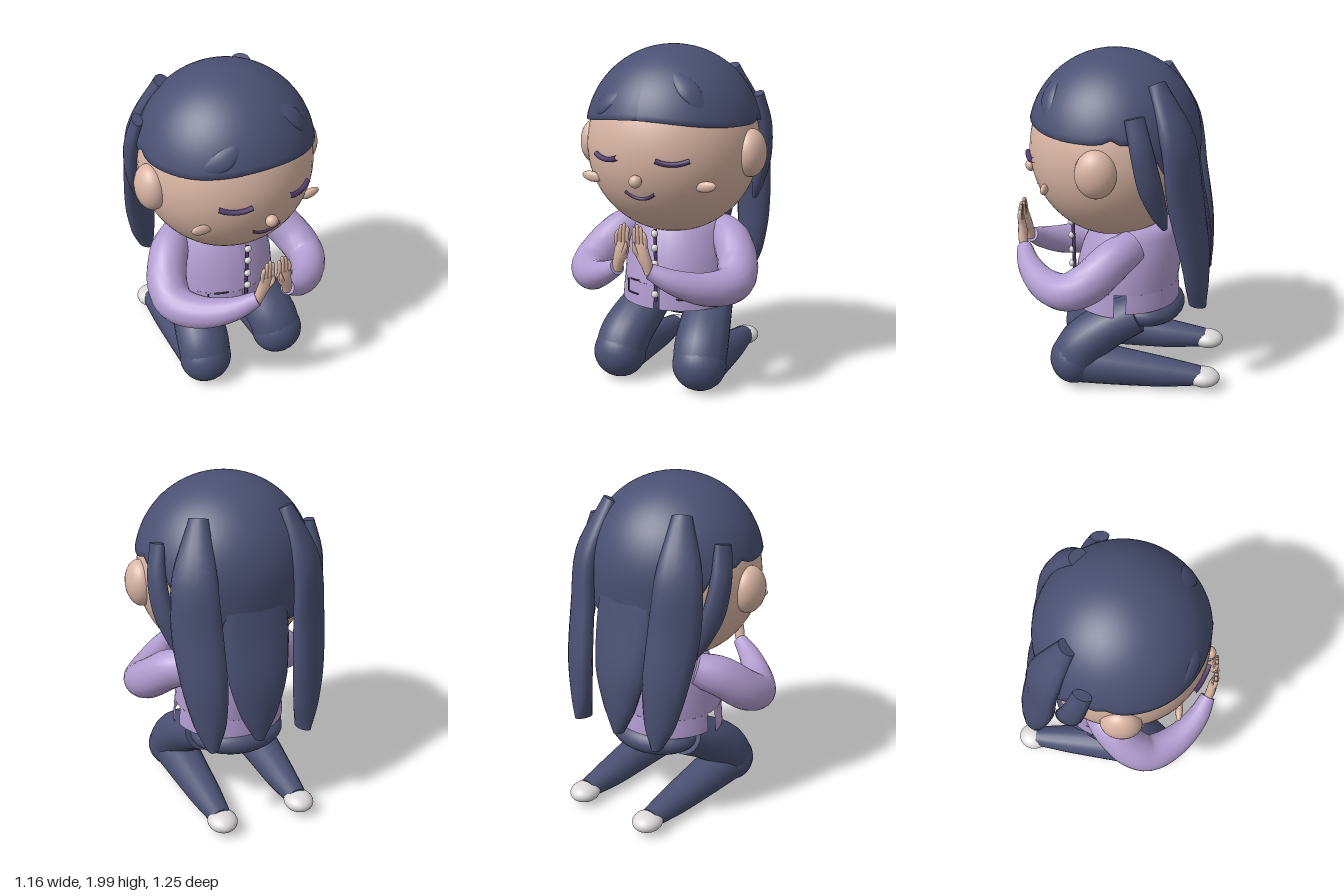
import * as THREE from 'three';

const mat = (name, color, double) => {
  const m = new THREE.MeshStandardMaterial({ color });
  m.name = name;
  if (double) m.side = THREE.DoubleSide;
  return m;
};
const V = (x, y, z) => new THREE.Vector3(x, y, z);

// Sweeps an elliptical section along rows of [x, y, z, halfWidth, halfThickness];
// ref(point) gives the direction of the thickness.
function sweep(rows, ref, rings = 20, sides = 14) {
  const path = new THREE.CatmullRomCurve3(rows.map(r => V(r[0], r[1], r[2])));
  const size = new THREE.CatmullRomCurve3(rows.map(r => V(r[3], r[4], 0)));
  const pos = [], idx = [], ends = [];
  for (let i = 0; i <= rings; i++) {
    const t = i / rings, p = path.getPoint(t), s = size.getPoint(t), tan = path.getTangent(t);
    const n = ref(p).clone();
    n.addScaledVector(tan, -n.dot(tan)).normalize();
    const side = tan.clone().cross(n), ring = [];
    for (let j = 0; j < sides; j++) {
      const a = j / sides * Math.PI * 2;
      const v = p.clone().addScaledVector(side, Math.cos(a) * s.x).addScaledVector(n, Math.sin(a) * s.y);
      ring.push(v);
      pos.push(v.x, v.y, v.z);
      if (i < rings) {
        const A = i * sides + j, B = i * sides + (j + 1) % sides;
        idx.push(A, A + sides, B, B, A + sides, B + sides);
      }
    }
    if (i === 0 || i === rings) ends.push({ p, ring });
  }
  // flat caps
  ends.forEach(({ p, ring }, e) => {
    const c = pos.length / 3;
    pos.push(p.x, p.y, p.z);
    ring.forEach(v => pos.push(v.x, v.y, v.z));
    for (let j = 0; j < sides; j++) {
      const a = c + 1 + j, b = c + 1 + (j + 1) % sides;
      idx.push(c, ...(e ? [b, a] : [a, b]));
    }
  });
  const g = new THREE.BufferGeometry();
  g.setAttribute('position', new THREE.Float32BufferAttribute(pos, 3));
  g.setIndex(idx);
  g.computeVertexNormals();
  return g;
}

// Hair dome with a hairline that is high in front and drops at the back
const HAIR = V(0, 1.49, 0.038), HX = 0.514, HY = 0.51, HZ = 0.503;
function hairCap() {
  const cols = 64, rows = 22, pos = [], idx = [];
  for (let i = 0; i <= rows; i++) for (let j = 0; j <= cols; j++) {
    const az = j / cols * Math.PI * 2, c = Math.cos(az);
    const edge = 1.575 + 0.045 * Math.max(0, c) ** 4
      + 0.03 * Math.exp(-(((c + 0.08) / 0.07) ** 2))
      - 0.32 * THREE.MathUtils.smoothstep(-c, 0.4, 0.85);
    const d = edge - HAIR.y, ry = d > 0 ? HY : 0.9;
    const a = Math.acos(d / ry) * Math.min(1, i / (rows - 1));
    const cy = Math.cos(a), r = Math.sin(a) - (i === rows ? 0.04 : 0);
    pos.push(HX * r * Math.sin(az), HAIR.y + cy * (cy > 0 ? HY : 0.9), HAIR.z + HZ * r * c);
    if (i < rows && j < cols) {
      const A = i * (cols + 1) + j, B = A + cols + 1;
      idx.push(A, B, A + 1, A + 1, B, B + 1);
    }
  }
  const g = new THREE.BufferGeometry();
  g.setAttribute('position', new THREE.Float32BufferAttribute(pos, 3));
  g.setIndex(idx);
  g.computeVertexNormals();
  return g;
}

export function createModel() {
  const group = new THREE.Group();
  const skin = mat('skin', 0xd9b5a4), navy = mat('navy', 0x4a5072, true), lilac = mat('lilac', 0xb29dd0, true);
  const white = mat('white', 0xdedadb), plum = mat('plum', 0x523c6c);

  const add = (name, geo, m) => {
    const mesh = new THREE.Mesh(geo, m);
    mesh.name = name;
    group.add(mesh);
    return mesh;
  };
  const ball = (name, m, x, y, z, rx, ry = rx, rz = rx, seg = 24) => {
    const b = add(name, new THREE.SphereGeometry(1, seg, Math.max(8, seg * 0.7 | 0)), m);
    b.position.set(x, y, z);
    b.scale.set(rx, ry, rz);
    return b;
  };
  const tube = (name, m, pts, r) =>
    add(name, new THREE.TubeGeometry(new THREE.CatmullRomCurve3(pts), 16, r, 8), m);
  const up = () => V(0, 1, 0.01);
  const faceZ = (x, y) => 0.038 + 0.496 * Math.sqrt(1 - (x / 0.506) ** 2 - ((y - 1.425) / 0.515) ** 2);

  // Head and face
  ball('head', skin, 0, 1.425, 0.038, 0.506, 0.515, 0.496, 48);
  ball('nose', skin, 0, 1.29, 0.542, 0.037, 0.036, 0.033);
  tube('mouth', plum, [-0.09, -0.05, 0, 0.05, 0.09].map(x => {
    const y = 1.18 + 4.5 * x * x;
    return V(x, y, faceZ(x, y) + 0.003);
  }), 0.009);

  // Hair
  add('hairCap', hairCap(), navy);
  add('backLock', sweep([[0, 1.6, -0.37, 0.14, 0.04], [0, 1.45, -0.395, 0.18, 0.05], [0, 1.22, -0.425, 0.2, 0.06],
    [0, 0.95, -0.465, 0.18, 0.07], [0, 0.72, -0.48, 0.11, 0.06], [0, 0.57, -0.485, 0.03, 0.04]], () => V(0, 0, -1)), navy);
  const onHair = (x, y) => [x, y, HAIR.z + HZ * Math.sqrt(1 - (x / HX) ** 2 - ((y - HAIR.y) / HY) ** 2) - 0.008];
  const fromHead = p => p.clone().sub(HAIR);
  add('fringeTuft', sweep([[...onHair(-0.37, 1.62), 0.01, 0.003], [...onHair(-0.24, 1.69), 0.055, 0.018],
    [...onHair(-0.11, 1.79), 0.01, 0.003]], fromHead), navy);
  add('fringeTuft', sweep([[...onHair(0.1, 1.9), 0.01, 0.003], [...onHair(0.24, 1.78), 0.06, 0.02],
    [...onHair(0.37, 1.62), 0.012, 0.003]], fromHead), navy);

  // Jacket: upper body leaning back, then a skirt slit at the sides and front
  const lathe = (name, pts, start = 0, len = Math.PI * 2, lean = 0) => {
    const g = new THREE.LatheGeometry(pts.map(p => new THREE.Vector2(...p)), 40, start, len);
    const p = g.attributes.position;
    for (let i = 0; i < p.count; i++) p.setZ(i, p.getZ(i) * 0.95 - 0.035 - lean * (p.getY(i) - 0.62));
    g.computeVertexNormals();
    add(name, g, lilac);
  };
  lathe('jacketBody', [[0.328, 0.62], [0.326, 0.72], [0.31, 0.83], [0.278, 0.93], [0.245, 0.995], [0.12, 1.01]],
    0, Math.PI * 2, 0.14);
  const hem = [[0.34, 0.478], [0.335, 0.55], [0.328, 0.62]];
  lathe('jacketBackSkirt', [[0.336, 0.505], ...hem.slice(1)], 1.68, Math.PI * 2 - 3.36);
  tube('placket', plum, [V(0, 0.53, 0.29), V(0, 0.7, 0.29), V(0, 0.84, 0.293), V(0, 0.97, 0.295)], 0.011);
  [0.575, 0.67, 0.76, 0.855, 0.94].forEach(y => ball('button', white, 0, y, 0.305, 0.022, 0.022, 0.018, 14));

  // Hips
  ball('hips', navy, 0, 0.45, -0.16, 0.29, 0.115, 0.23, 28);

  for (const s of [1, -1]) {
    const mir = rows => rows.map(([x, ...r]) => [x * s, ...r]);
    const pts = rows => rows.map(([x, y, z]) => V(x * s, y, z));

    // Ear, closed eye, cheek
    ball('ear', skin, 0.495 * s, 1.41, 0.075, 0.086, 0.137, 0.117);
    tube('closedEye', plum, [0.115, 0.15, 0.2, 0.245, 0.285].map(x => {
      const y = 1.392 + 2.6 * (x - 0.2) ** 2;
      return V(x * s, y, faceZ(x, y) + 0.01);
    }), 0.015);
    ball('cheek', skin, 0.352 * s, 1.262, 0.39, 0.062, 0.03, 0.02).rotation.z = 0.15 * s;

    // Long rear lock and short lock behind the ear
    add('rearLock', sweep(mir([[0.255, 1.86, -0.225, 0.055, 0.045], [0.335, 1.56, -0.355, 0.13, 0.06],
      [0.34, 1.25, -0.4, 0.145, 0.062], [0.32, 0.95, -0.455, 0.13, 0.065], [0.3, 0.71, -0.478, 0.09, 0.06],
      [0.285, 0.57, -0.482, 0.035, 0.055]]), p => V(p.x * 0.75, 0, p.z), 24), navy);
    add('sideLock', sweep(mir([[0.46, 1.72, -0.13, 0.055, 0.03], [0.483, 1.53, -0.175, 0.065, 0.045],
      [0.468, 1.35, -0.215, 0.07, 0.045], [0.415, 1.17, -0.265, 0.05, 0.035], [0.385, 1.07, -0.295, 0.015, 0.012]]),
      p => V(p.x, 0, p.z)), navy);

    // Front skirt panel and pocket
    lathe('jacketFrontSkirt', hem, s > 0 ? 0.05 : -1.458, 1.408);
    const coat = (x, y) => [x, y, -0.035 + 0.95 * Math.sqrt(0.334 ** 2 - x * x) + 0.008];
    const line = (a, b) => tube('pocketEdge', plum,
      pts([coat(...a), coat((a[0] + b[0]) / 2, (a[1] + b[1]) / 2), coat(...b)]), 0.005);
    line([0.12, 0.548], [0.215, 0.545]);
    line([0.215, 0.545], [0.218, 0.625]);
    line([0.11, 0.635], [0.19, 0.628]);

    // Sleeve
    add('sleeve', sweep(mir([[0.25, 0.905, -0.1, 0.09, 0.1], [0.36, 0.855, 0.0, 0.115, 0.12], [0.445, 0.745, 0.13, 0.118, 0.122],
      [0.455, 0.685, 0.25, 0.113, 0.11], [0.36, 0.683, 0.4, 0.095, 0.095], [0.22, 0.74, 0.52, 0.07, 0.07],
      [0.1, 0.805, 0.575, 0.045, 0.045]]), up, 28, 18), lilac);

    // Hand with raised fingers
    add('palm', sweep(mir([[0.1, 0.79, 0.575, 0.028, 0.026], [0.085, 0.85, 0.585, 0.034, 0.028],
      [0.062, 0.91, 0.592, 0.043, 0.026], [0.056, 0.965, 0.597, 0.04, 0.016]]), () => V(0, 0, 1), 12), skin);
    [[0.022, 1.05], [0.044, 1.07], [0.066, 1.06], [0.087, 1.03]].forEach(([x, top]) => add('finger', sweep(mir([
      [x, 0.935, 0.597, 0.012, 0.013], [x, 1.0, 0.603, 0.012, 0.012], [x * 0.9, top - 0.012, 0.6, 0.011, 0.011],
      [x * 0.9, top, 0.599, 0.004, 0.004]]), () => V(0, 0, 1), 8, 8), skin));
    add('thumb', sweep(mir([[0.05, 0.89, 0.6, 0.015, 0.015], [0.028, 0.93, 0.615, 0.014, 0.013],
      [0.022, 0.97, 0.617, 0.006, 0.006]]), () => V(0, 0, 1), 8, 8), skin);

    // Folded leg and shoe
    add('thigh', sweep(mir([[0.19, 0.45, -0.11, 0.13, 0.12], [0.22, 0.365, 0.06, 0.152, 0.135],
      [0.25, 0.255, 0.2, 0.16, 0.145], [0.26, 0.17, 0.25, 0.157, 0.143]]), () => V(0, 1, 0.6), 16, 20), navy);
    ball('knee', navy, 0.26 * s, 0.165, 0.25, 0.161, 0.154, 0.147);
    add('shin', sweep(mir([[0.26, 0.145, 0.22, 0.14, 0.13], [0.258, 0.125, 0, 0.12, 0.115],
      [0.252, 0.1, -0.28, 0.095, 0.09], [0.25, 0.088, -0.51, 0.065, 0.058]]), up, 16, 18), navy);
    ball('shoe', white, 0.25 * s, 0.082, -0.53, 0.088, 0.056, 0.097);
  }
  return group;
}
